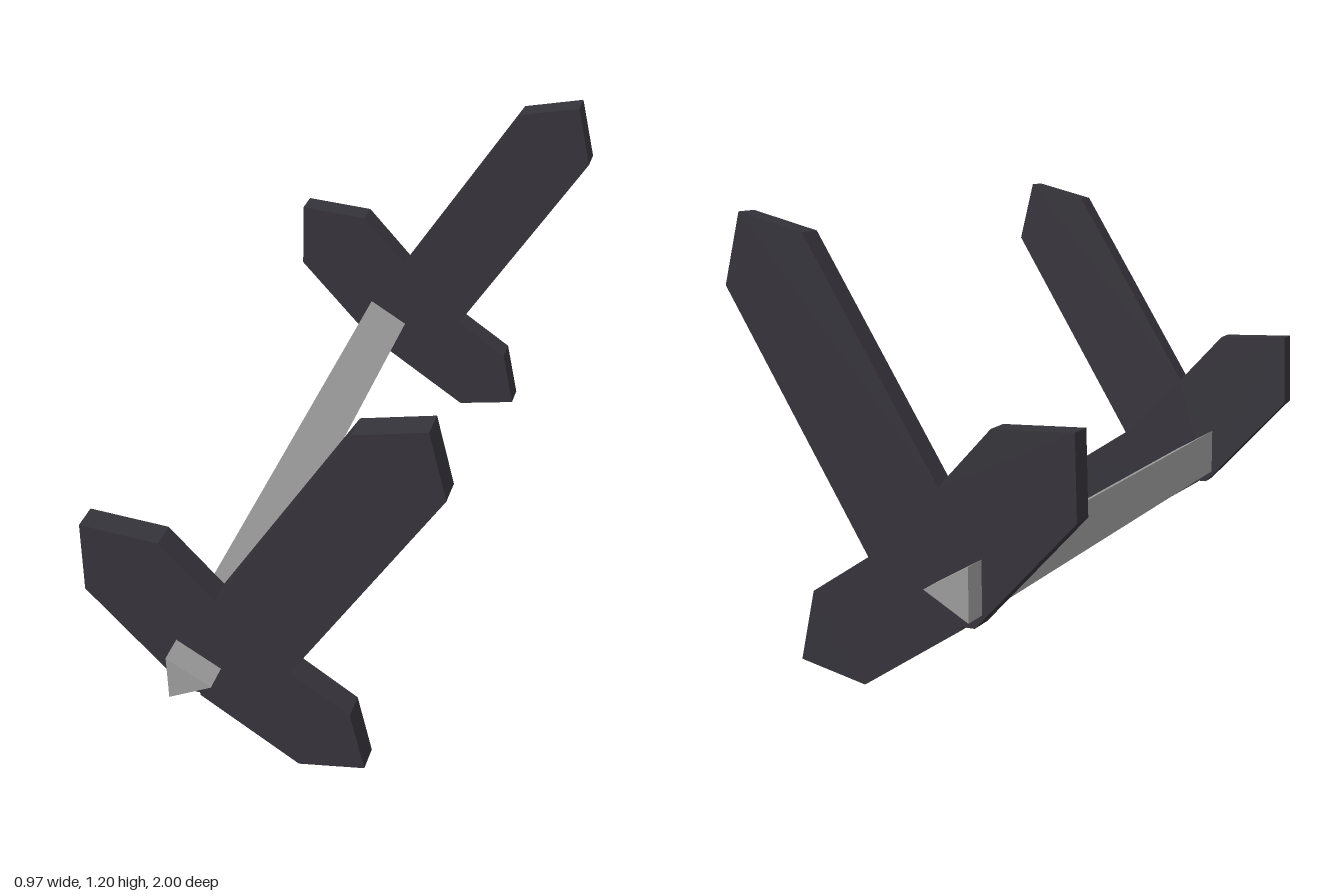
import * as THREE from 'three';

const charcoal = new THREE.MeshStandardMaterial({ color: 0x35333a });
charcoal.name = 'charcoal';
const grey = new THREE.MeshStandardMaterial({ color: 0x9b9b9b });
grey.name = 'grey';

// Prism with the given front outline, centred at depth z
function prism(name, points, depth, z, material) {
  const shape = new THREE.Shape(points.map(([x, y]) => new THREE.Vector2(x, y)));
  const geometry = new THREE.ExtrudeGeometry(shape, { depth, bevelEnabled: false });
  geometry.translate(0, 0, z - depth / 2);
  const mesh = new THREE.Mesh(geometry, material);
  mesh.name = name;
  return mesh;
}

export function createModel() {
  const group = new THREE.Group();
  group.name = 'bladedAxle';

  // Three-bladed end plate, counter-clockwise outline
  const plate = [
    [0.44, 1.197], [0.255, 1.15], [-0.117, 0.538], // long upper blade
    [-0.262, 0.695], [-0.481, 0.703], [-0.487, 0.484], // left blade
    [-0.215, 0.19], [-0.178, 0.19], [-0.178, 0.181], // notch under the axle
    [0.1, 0], [0.287, 0.043], [0.247, 0.231], // lower right blade
    [0.083, 0.339], [0.486, 1.009],
  ];
  group.add(prism('frontBlades', plate, 0.07, 0.892, charcoal));
  group.add(prism('backBlades', plate, 0.07, -0.892, charcoal));

  // Triangular axle running through both plates
  const triangle = [[-0.235, 0.369], [-0.235, 0.227], [-0.112, 0.298]];
  group.add(prism('axle', triangle, 2, 0, grey));

  return group;
}
